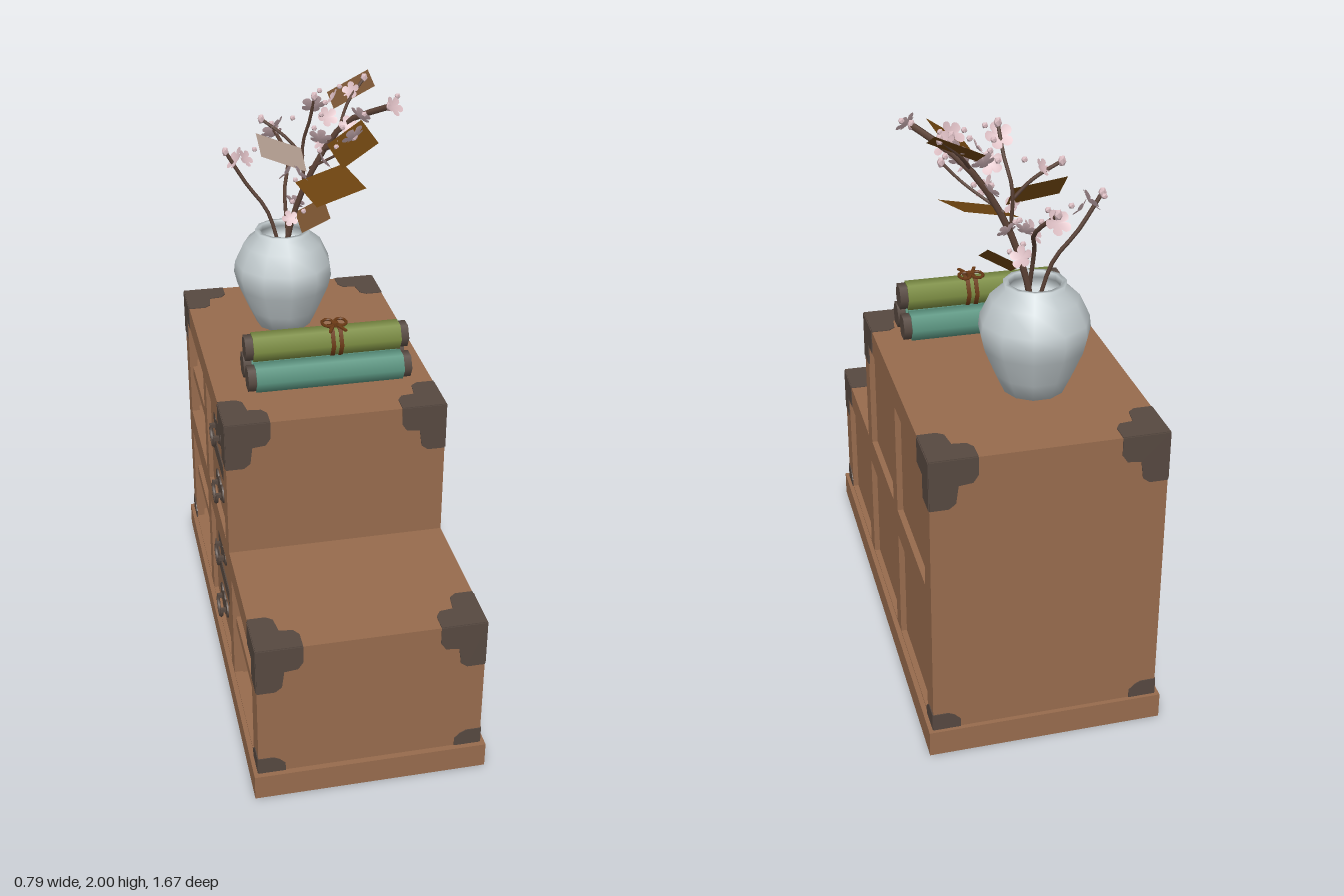
import * as THREE from 'three';

const mat = (name, color, side = THREE.FrontSide) => {
  const m = new THREE.MeshStandardMaterial({ color, side });
  m.name = name;
  return m;
};

export function createModel() {
  const wood = mat('wood', 0x976b4d);
  const iron = mat('dark iron', 0x564840);
  const porcelain = mat('porcelain', 0xc0c9cc, THREE.DoubleSide);
  const teal = mat('teal paper', 0x5a9480);
  const green = mat('green paper', 0x7b8c42);
  const cord = mat('cord', 0x6b3a15);
  const leaf = mat('brown leaf', 0x6b420f, THREE.DoubleSide);
  const bark = mat('bark', 0x5c4236);
  const pink = mat('blossom pink', 0xd8babf, THREE.DoubleSide);

  const model = new THREE.Group();
  const add = (name, geo, material, x = 0, y = 0, z = 0, parent = model) => {
    const m = new THREE.Mesh(geo, material);
    m.name = name;
    m.position.set(x, y, z);
    parent.add(m);
    return m;
  };
  // box given by its limits on each axis
  const slab = (name, material, x0, x1, y0, y1, z0, z1) =>
    add(name, new THREE.BoxGeometry(x1 - x0, y1 - y0, z1 - z0), material, (x0 + x1) / 2, (y0 + y1) / 2, (z0 + z1) / 2);
  const V = (x, y, z) => new THREE.Vector3(x, y, z);

  // ---- Stepped cabinet ----
  const W = 0.377, F = 0.815, B = -0.82, S = 0.265, T = 0.03;
  slab('plinth', wood, -0.393, 0.393, 0, 0.09, -0.835, 0.835);
  slab('upperTop', wood, -W + T, W - T, 1.06, 1.09, B, S);
  slab('lowerTop', wood, -W + T, W - T, 0.56, 0.59, B, F);
  slab('upperFront', wood, -W + T, W - T, 0.59, 1.06, S - T, S);
  slab('lowerFront', wood, -W + T, W - T, 0.09, 0.56, F - T, F);
  slab('backBoard', wood, -W + T, W - T, 0.09, 1.06, B, B + T);

  // side frames with openings, shared by both sides
  const openings = [
    [-0.735, -0.29, 0.6, 1.0], [-0.22, 0.19, 0.6, 1.0],
    [-0.735, -0.29, 0.095, 0.5], [-0.22, 0.23, 0.095, 0.5], [0.3, 0.72, 0.095, 0.5],
  ];
  const outline = [[B, 0.09], [F, 0.09], [F, 0.59], [S, 0.59], [S, 1.09], [B, 1.09]];
  const toShape = (pts) => new THREE.Shape(pts.map(([a, b]) => new THREE.Vector2(a, b)));
  const frame = toShape(outline);
  openings.forEach(([a, b, c, d]) => frame.holes.push(toShape([[a, c], [a, d], [b, d], [b, c]])));
  const frameGeo = new THREE.ExtrudeGeometry(frame, { depth: T, bevelEnabled: false }).rotateY(-Math.PI / 2);
  add('panelFrame', frameGeo, wood, W);
  add('shelfFrame', frameGeo, wood, -W + T);
  const panelGeo = new THREE.ExtrudeGeometry(toShape(outline), { depth: 0.01, bevelEnabled: false }).rotateY(-Math.PI / 2);
  add('recessedPanels', panelGeo, wood, W - 0.02);

  // inner dividers and middle shelves
  slab('rearDivider', wood, -W + T, W - T, 0.09, 1.06, -0.29, -0.22);
  slab('upperDivider', wood, -W + T, W - T, 0.59, 1.06, 0.19, 0.235);
  slab('lowerDivider', wood, -W + T, W - T, 0.09, 0.56, 0.23, 0.3);
  slab('shelf', wood, -0.365, 0.345, 0.76, 0.8, -0.79, -0.29);
  slab('shelf', wood, -0.365, 0.345, 0.3, 0.34, -0.79, -0.29);
  slab('shelf', wood, -0.365, 0.345, 0.3, 0.34, 0.3, 0.785);

  // drawers with dark rails and bail handles
  const drawer = (y0, y1, z1, yh) => {
    slab('drawer', wood, -0.362, 0.2, y0, y1, -0.215, z1 - 0.005);
    const g = new THREE.Group();
    g.name = 'drawerHandle';
    g.position.set(-0.364, yh, -0.01);
    g.rotation.y = -Math.PI / 2;
    model.add(g);
    const plate = new THREE.CylinderGeometry(0.045, 0.045, 0.008, 8).rotateX(Math.PI / 2);
    add('centrePlate', plate, iron, 0, 0, 0, g);
    for (const s of [-1, 1]) {
      const lobe = add('sidePlate', plate, iron, s * 0.055, 0.012, 0, g);
      lobe.scale.set(0.75, 0.75, 1);
      add('post', new THREE.BoxGeometry(0.014, 0.014, 0.022), iron, s * 0.046, 0, 0.012, g);
    }
    add('bail', new THREE.TorusGeometry(0.046, 0.007, 6, 12, Math.PI).rotateZ(Math.PI), iron, 0, 0, 0.02, g);
  };
  drawer(0.605, 0.775, 0.19, 0.68);
  drawer(0.83, 0.995, 0.19, 0.915);
  drawer(0.1, 0.27, 0.23, 0.175);
  drawer(0.325, 0.495, 0.23, 0.41);
  slab('drawerRail', iron, -0.366, 0.2, 0.775, 0.83, -0.22, 0.19);
  slab('drawerRail', iron, -0.366, 0.2, 0.27, 0.325, -0.22, 0.23);

  // stored wares
  const lathe = (pts, n) => new THREE.LatheGeometry(pts.map(([r, y]) => new THREE.Vector2(r, y)), n);
  const jar = lathe([[0, 0], [0.04, 0], [0.065, 0.05], [0.065, 0.09], [0.04, 0.13], [0.045, 0.145], [0, 0.145]], 10);
  for (const z of [-0.65, -0.51, -0.38]) add('storedJar', jar, porcelain, -0.22, 0.341, z);
  slab('storedBox', wood, -0.28, 0.02, 0.8, 0.94, -0.68, -0.4);
  slab('storedBox', wood, -0.28, 0.02, 0.34, 0.45, 0.38, 0.62);

  // ---- Iron corner plates ----
  const big = [[0, 0], [0.152, 0], [0.152, 0.06], [0.135, 0.085], [0.09, 0.09], [0.082, 0.15], [0.06, 0.167], [0, 0.167]];
  const side = [[0, 0], [0.16, 0], [0.16, 0.085], [0.082, 0.085], [0.082, 0.165], [0, 0.165]];
  const small = [[0, 0], [0.09, 0], [0.09, 0.03], [0.07, 0.05], [0.05, 0.06], [0, 0.06]];
  const faces = { front: [0, 0], back: [0, Math.PI], right: [0, Math.PI / 2], left: [0, -Math.PI / 2], top: [-Math.PI / 2, 0] };
  const corner = (face, dist, u, v, su, sv, pts) => {
    const shape = toShape(pts.map(([a, b]) => [u + su * a, v + sv * b]));
    const geo = new THREE.ExtrudeGeometry(shape, { depth: 0.005, bevelEnabled: false }).translate(0, 0, dist - 0.002);
    const m = add(face + 'CornerPlate', geo, iron);
    m.rotation.set(faces[face][0], faces[face][1], 0);
  };
  for (const s of [-1, 1]) {
    const u = s * W;
    corner('front', F, u, 0.59, -s, -1, big);
    corner('front', F, u, 0.09, -s, 1, small);
    corner('front', S, u, 1.09, -s, -1, big);
    corner('back', -B, u, 1.09, -s, -1, big);
    corner('back', -B, u, 0.09, -s, 1, small);
    corner('top', 1.09, u, -S, -s, 1, big);
    corner('top', 1.09, u, -B, -s, -1, big);
    corner('top', 0.59, u, -F, -s, 1, big);
    const f = s > 0 ? 'right' : 'left';
    corner(f, W, -s * S, 1.09, s, -1, side);
    corner(f, W, -s * B, 1.09, -s, -1, side);
    corner(f, W, -s * F, 0.59, s, -1, side);
    corner(f, W, -s * F, 0.09, s, 1, small);
    corner(f, W, -s * B, 0.09, -s, 1, small);
  }

  // ---- Scrolls ----
  const hex = (r, len) => new THREE.CylinderGeometry(r, r, len, 6).rotateZ(Math.PI / 2).rotateX(Math.PI / 2);
  const upright = (r, len) => hex(r, len).rotateX(Math.PI / 2);
  for (const [y, z, paper] of [[1.16, 0.077, teal], [1.16, -0.028, teal], [1.25, 0.025, green]]) {
    add('scrollPaper', upright(0.051, 0.51), paper, 0.012, y, z);
    add('scrollRod', upright(0.045, 0.565), iron, 0.012, y, z);
  }
  for (const x of [0.03, 0.058]) add('scrollCord', upright(0.055, 0.014), cord, x, 1.25, 0.025);
  for (const s of [-1, 1]) {
    const loop = add('bowLoop', new THREE.TorusGeometry(0.02, 0.005, 5, 10).rotateX(Math.PI / 2), cord, 0.044 + s * 0.022, 1.308, 0.01);
    loop.scale.z = 1.4;
    const tail = add('bowTail', new THREE.BoxGeometry(0.01, 0.006, 0.06), cord, 0.044 + s * 0.016, 1.306, 0.05);
    tail.rotation.y = s * 0.4;
  }
  add('bowKnot', new THREE.BoxGeometry(0.022, 0.016, 0.022), cord, 0.044, 1.307, 0.022);

  // ---- Vase ----
  add('vase', lathe([[0, 1.105], [0.1, 1.105], [0.13, 1.17], [0.168, 1.26], [0.18, 1.31], [0.175, 1.35], [0.142, 1.42],
    [0.1, 1.455], [0.1, 1.472], [0.085, 1.472], [0.085, 1.45], [0.12, 1.4], [0, 1.3]], 11), porcelain, -0.047, 0, -0.455);

  // ---- Branches ----
  const branches = [
    [0.011, V(-0.05, 1.32, -0.46), V(-0.01, 1.52, -0.45), V(0.06, 1.7, -0.43), V(0.17, 1.86, -0.42), V(0.3, 1.95, -0.3)],
    [0.007, V(-0.05, 1.36, -0.45), V(-0.1, 1.54, -0.47), V(-0.17, 1.64, -0.49), V(-0.24, 1.76, -0.5)],
    [0.007, V(-0.03, 1.45, -0.45), V(-0.03, 1.6, -0.5), V(0.0, 1.69, -0.6), V(-0.04, 1.78, -0.7)],
    [0.006, V(0.03, 1.63, -0.44), V(0.03, 1.78, -0.46), V(0.05, 1.88, -0.43), V(0.06, 1.97, -0.4)],
    [0.006, V(0.03, 1.74, -0.45), V(-0.03, 1.81, -0.47), V(-0.11, 1.87, -0.5)],
    [0.006, V(0.1, 1.77, -0.42), V(0.14, 1.83, -0.32), V(0.16, 1.88, -0.22)],
    [0.006, V(0.15, 1.84, -0.42), V(0.2, 1.91, -0.5), V(0.27, 1.98, -0.55)],
    [0.005, V(0.05, 1.7, -0.44), V(0.16, 1.78, -0.37), V(0.22, 1.84, -0.34)],
  ];
  const bud = new THREE.IcosahedronGeometry(0.013, 0);
  for (const [r, ...pts] of branches) {
    add('branch', new THREE.TubeGeometry(new THREE.CatmullRomCurve3(pts), 10, r, 5), bark);
    const tip = pts[pts.length - 1];
    add('bud', bud, pink, tip.x, tip.y, tip.z).scale.y = 1.4;
  }

  // five-petal cupped flowers
  const flower = new THREE.CircleGeometry(1, 40);
  const p = flower.attributes.position;
  for (let i = 1; i < p.count; i++) {
    const a = Math.atan2(p.getY(i), p.getX(i));
    const r = 0.55 + 0.45 * Math.sqrt(Math.abs(Math.sin(2.5 * a)));
    p.setXYZ(i, r * Math.cos(a), r * Math.sin(a), 0.3 * r);
  }
  flower.computeVertexNormals();
  const blooms = [
    [-0.03, 1.53, -0.4], [0.0, 1.56, -0.47], [-0.2, 1.73, -0.49], [-0.17, 1.72, -0.52], [-0.04, 1.75, -0.69],
    [0.03, 1.7, -0.6], [0.0, 1.7, -0.38], [-0.01, 1.66, -0.52], [0.04, 1.64, -0.45], [0.07, 1.83, -0.36],
    [0.1, 1.78, -0.47], [0.13, 1.81, -0.3], [0.16, 1.88, -0.21], [0.18, 1.86, -0.4], [0.21, 1.9, -0.36],
    [0.15, 1.93, -0.5], [0.31, 1.95, -0.29], [0.06, 1.93, -0.41], [0.22, 1.94, -0.53], [0.08, 1.75, -0.35],
    [-0.05, 1.85, -0.49], [0.12, 1.87, -0.47],
  ];
  blooms.forEach(([x, y, z], i) => {
    const f = add('blossom', flower, pink, x, y, z);
    f.scale.setScalar(0.03 + 0.014 * ((i * 7 % 5) / 4));
    f.lookAt(x + Math.sin(i * 2.4), y + 0.7, z + Math.cos(i * 2.4));
    const a = i * 1.9;
    add('bud', bud, pink, x + 0.05 * Math.cos(a), y + 0.025, z + 0.05 * Math.sin(a)).scale.setScalar(0.8);
  });

  // broad flat leaves, each from a corner and two edges
  const leaves = [
    [V(0.14, 1.93, -0.57), V(0.15, 0.07, -0.01), V(0.01, -0.04, 0.07)],
    [V(0.09, 1.82, -0.33), V(0.12, 0.08, 0), V(0, 0, 0.25)],
    [V(-0.01, 1.665, -0.4), V(0.18, 0.045, -0.03), V(0.04, -0.025, 0.19)],
    [V(-0.13, 1.82, -0.5), V(0.15, -0.045, 0.06), V(0.01, -0.07, 0.05)],
    [V(0.0, 1.53, -0.46), V(0.1, 0.055, 0.02), V(0.01, -0.05, 0.08)],
  ];
  for (const [o, a, b] of leaves) {
    const q = [o, o.clone().add(b), o.clone().add(a).add(b), o.clone().add(a)];
    const geo = new THREE.BufferGeometry().setFromPoints(q);
    geo.setIndex([0, 1, 2, 0, 2, 3]);
    geo.computeVertexNormals();
    add('leaf', geo, leaf);
  }
  return model;
}
